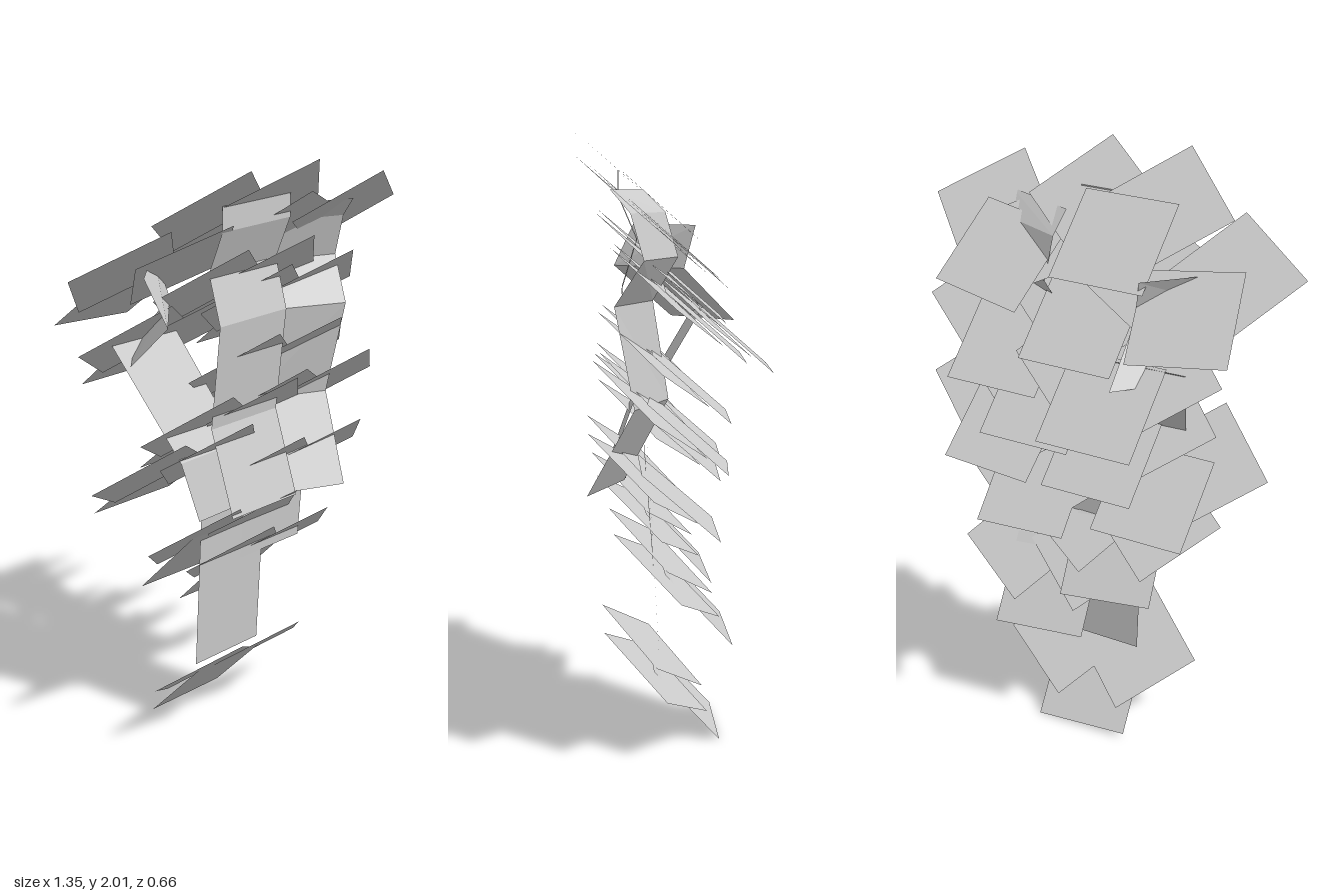
import * as THREE from 'three';

const material = new THREE.MeshStandardMaterial({ color: 0xcccccc, flatShading: true, side: THREE.DoubleSide });

// Ribbon from rows of [y, x1, z1, x2, z2]
function ribbon(name, rows) {
  const positions = [], index = [];
  rows.forEach(([y, x1, z1, x2, z2], i) => {
    positions.push(x1, y, z1, x2, y, z2);
    if (i) {
      const a = 2 * (i - 1);
      index.push(a, a + 2, a + 1, a + 1, a + 2, a + 3);
    }
  });
  const g = new THREE.BufferGeometry();
  g.setAttribute('position', new THREE.Float32BufferAttribute(positions, 3));
  g.setIndex(index);
  g.computeVertexNormals();
  const m = new THREE.Mesh(g, material);
  m.name = name;
  return m;
}

const leafGeometry = new THREE.PlaneGeometry(0.328, 0.328);

// Three square leaves: two turned on their corner, one hanging square;
// a drooping cluster has its hanging leaf steeper and underneath
function leafCluster([x, y, z, spin = 0, droop = false]) {
  const leaves = [
    [-0.125, 0.045, 0, 0.79, 0],
    [0.13, 0.045, 0.005, 0.67, 0],
    [0, -0.1, droop ? 0.02 : -0.005, 0, droop ? -0.12 : 0],
  ];
  const cluster = new THREE.Group();
  cluster.name = 'leafCluster';
  for (const [lx, ly, lz, turn, tilt] of leaves) {
    const leaf = new THREE.Mesh(leafGeometry, material);
    leaf.name = 'leaf';
    leaf.position.set(lx, ly, lz);
    leaf.rotation.set(tilt, 0, turn);
    cluster.add(leaf);
  }
  // Spin in its own plane, then lean forward
  cluster.rotation.set(0.85, 0, spin);
  cluster.position.set(x, y, z);
  return cluster;
}

export function createModel() {
  const model = new THREE.Group();
  model.name = 'hangingVine';

  // Middle strand
  const middle = [[1.87, 0.18], [1.79, 0.18], [1.65, 0.12], [1.49, 0.17], [1.14, 0.13], [0.86, 0.23]];
  model.add(ribbon('middleStrand', middle.map(([y, z]) => [y, -0.15, z, 0.14, z])));

  // Side strands
  model.add(ribbon('leftStrand', [
    [1.81, 0.15, 0.1, 0.41, 0.2], [1.74, 0.16, 0.03, 0.43, 0.14], [1.6, 0.17, -0.01, 0.44, 0.1],
    [1.46, 0.14, 0.07, 0.4, 0.19], [1.14, 0.12, 0.02, 0.38, 0.13], [0.86, 0.05, 0.165, 0.32, 0.28],
  ]));
  model.add(ribbon('upperRightStrand', [
    [1.69, -0.42, 0.13, -0.2, -0.08], [1.545, -0.39, 0.2, -0.17, -0.04], [1.37, -0.37, 0, -0.17, -0.21],
  ]));
  model.add(ribbon('rightStrand', [
    [1.42, -0.37, -0.09, -0.1, -0.1], [1.06, -0.28, 0.13, -0.02, 0.12], [0.86, -0.24, 0.17, 0.02, 0.16],
  ]));

  // Lower strands, hanging straight down
  model.add(ribbon('lowerMiddleStrand', [[1.0, -0.15, 0.09, 0.14, 0.09], [0.25, -0.15, 0.05, 0.14, 0.05]]));
  model.add(ribbon('lowerLeftStrand', [[1.0, 0.04, 0.1, 0.32, 0.1], [0.6, 0.04, 0.07, 0.32, 0.07]]));

  // Leaf clusters: x, y, z, spin, droop
  const clusters = [
    [-0.05, 1.82, 0.12],
    [-0.33, 1.655, 0.02, -0.17],
    [0.32, 1.72, 0.08, 0.18],
    [0.02, 1.56, 0.04],
    [0.26, 1.46, -0.01],
    [-0.14, 1.38, -0.13],
    [0.17, 1.26, 0.03],
    [-0.05, 1.11, 0.05],
    [-0.24, 1.0, 0.04],
    [0.31, 1.12, 0.04, 0.06],
    [0.23, 0.9, 0.07, -0.05],
    [-0.07, 0.725, 0.06, -0.12, true],
    [0.15, 0.575, 0, -0.1, true],
    [-0.01, 0.2, 0.03, -0.07, true],
  ];
  clusters.forEach((c) => model.add(leafCluster(c)));
  return model;
}
